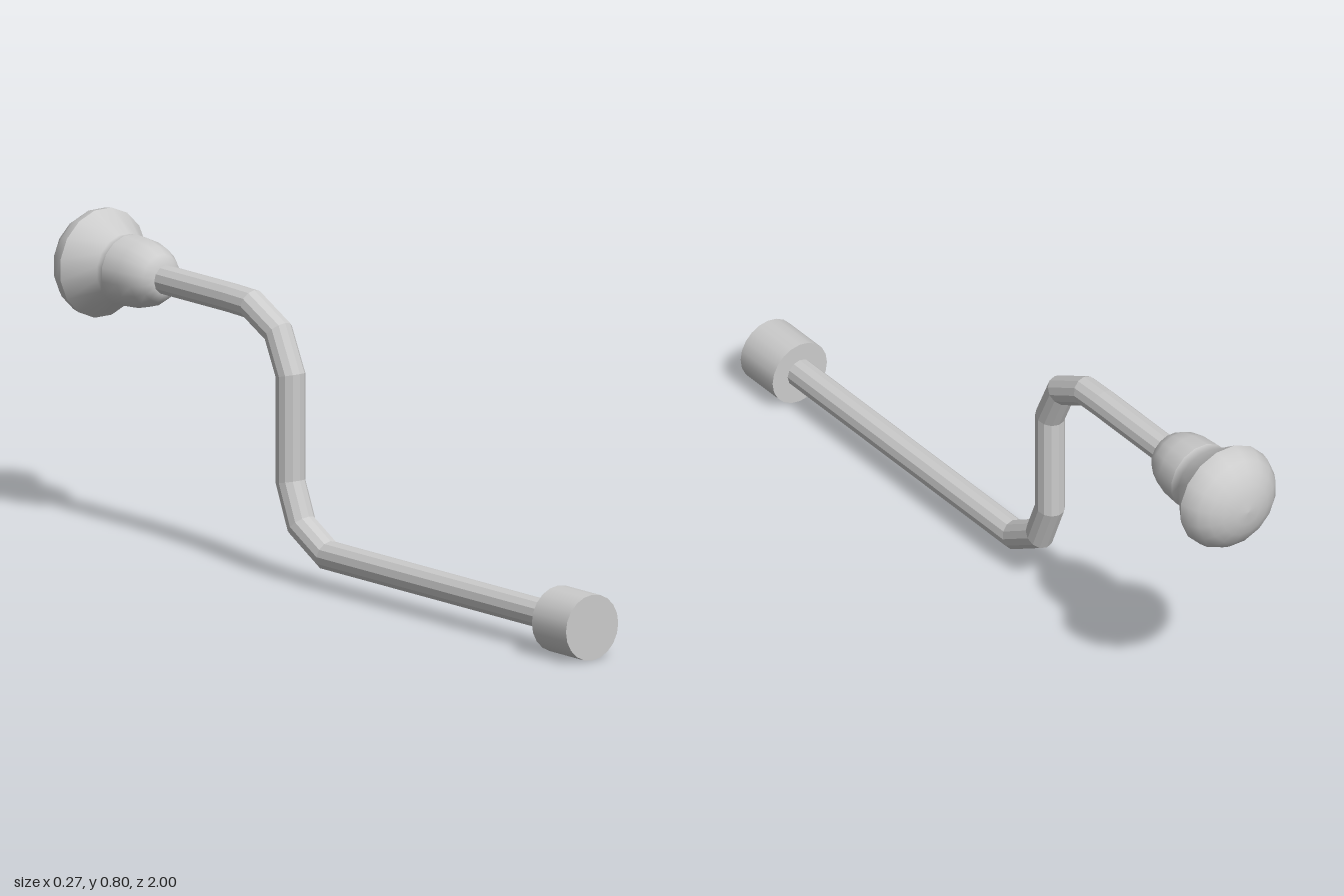
import * as THREE from 'three';

const ROD_SIDES = 12, ROD_RADIUS = 0.037;
const LOW_Y = 0.085, HIGH_Y = 0.669;

// Mitred sweep of a polygon along a [z, y] polyline
function sweepRod(path) {
  const pts = path.map(([z, y]) => new THREE.Vector2(z, y));
  const positions = [], index = [];
  pts.forEach((p, i) => {
    const into = pts[i].clone().sub(pts[Math.max(i - 1, 0)]).normalize();
    const out = pts[Math.min(i + 1, pts.length - 1)].clone().sub(p).normalize();
    const d = into.clone().add(out).normalize();
    const miter = 1 / Math.max(d.dot(into), d.dot(out));
    for (let j = 0; j < ROD_SIDES; j++) {
      const a = (j / ROD_SIDES) * Math.PI * 2;
      const s = Math.sin(a) * ROD_RADIUS * miter;
      positions.push(Math.cos(a) * ROD_RADIUS, p.y - d.x * s, p.x + d.y * s);
      if (i < pts.length - 1) {
        const k = (j + 1) % ROD_SIDES, r0 = i * ROD_SIDES, r1 = r0 + ROD_SIDES;
        index.push(r0 + j, r1 + j, r0 + k, r0 + k, r1 + j, r1 + k);
      }
    }
  });
  const geo = new THREE.BufferGeometry();
  geo.setAttribute('position', new THREE.Float32BufferAttribute(positions, 3));
  geo.setIndex(index);
  geo.computeVertexNormals();
  return geo;
}

// Lathe about the z axis from [radius, distance towards the back] pairs
function backLathe(profile, sides) {
  const pts = profile.map(([r, h]) => new THREE.Vector2(r, h));
  const geo = new THREE.LatheGeometry(pts, sides, Math.PI / sides);
  return geo.rotateX(-Math.PI / 2);
}

export function createModel() {
  const group = new THREE.Group();
  const smooth = new THREE.MeshStandardMaterial({ color: 0xcccccc, side: THREE.DoubleSide });
  const faceted = new THREE.MeshStandardMaterial({ color: 0xcccccc, flatShading: true });
  const add = (name, geo, mat, y = 0) => {
    const mesh = new THREE.Mesh(geo, mat);
    mesh.name = name;
    mesh.position.y = y;
    group.add(mesh);
  };

  // Socket at the front end
  const socket = new THREE.CylinderGeometry(0.083, 0.083, 0.133, 20);
  socket.rotateX(Math.PI / 2).translate(0, 0, 0.9335);
  add('socket', socket, smooth, LOW_Y);

  // Cranked rod
  add('crankRod', sweepRod([
    [0.88, 0.086], [-0.028, 0.086], [-0.131, 0.144], [-0.174, 0.247],
    [-0.174, 0.515], [-0.222, 0.615], [-0.324, 0.667], [-0.4, HIGH_Y], [-0.7, HIGH_Y],
  ]), faceted);

  // Handle: rounded collar, flare and domed end
  add('handleCollar', backLathe([
    [0, 0.659], [0.038, 0.659], [0.06, 0.677], [0.076, 0.705], [0.086, 0.745], [0.09, 0.8],
  ], 16), smooth, HIGH_Y);
  add('handleFlare', backLathe([[0.09, 0.8], [0.086, 0.823], [0.138, 0.903]], 16), smooth, HIGH_Y);
  const dome = [];
  for (let i = 0; i <= 6; i++) {
    const a = (i / 6) * Math.PI / 2;
    dome.push([0.138 * Math.cos(a), 0.903 + 0.097 * Math.sin(a)]);
  }
  add('handleDome', backLathe(dome, 16), smooth, HIGH_Y);

  return group;
}
